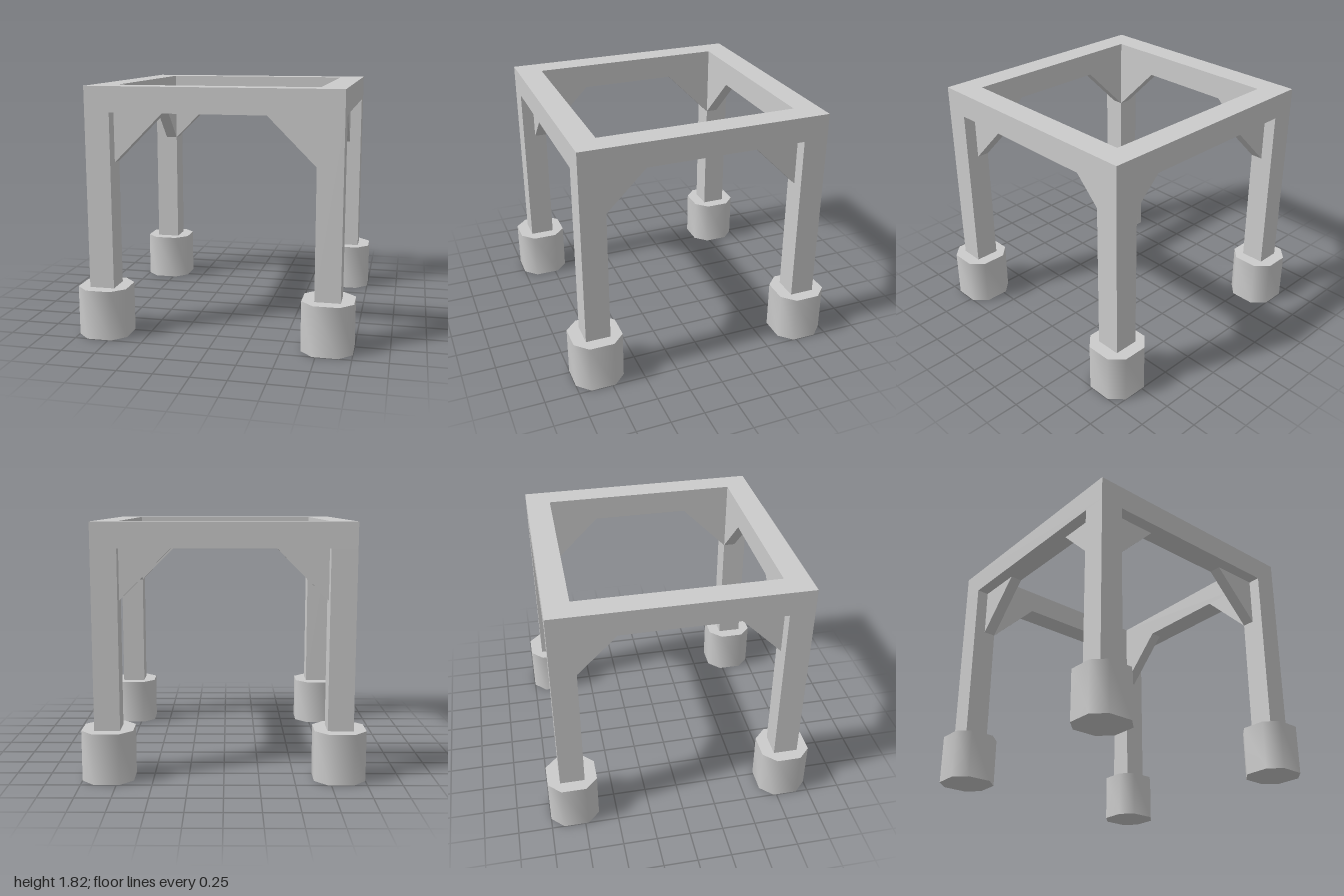
import * as THREE from 'three';
import { toCreasedNormals } from 'three/addons/utils/BufferGeometryUtils.js';

const U = 1 / 11; // grid module: all sizes are whole multiples of it
const material = new THREE.MeshStandardMaterial({ color: 0xcccccc });

const toPoints = (pairs) => pairs.map(([x, y]) => new THREE.Vector2(x * U, y * U));
const extrude = (shape, depth) =>
  new THREE.ExtrudeGeometry(shape, { depth: depth * U, bevelEnabled: false });
const square = (r) => toPoints([[-r, -r], [r, -r], [r, r], [-r, r]]);

export function createModel() {
  const model = new THREE.Group();
  const add = (parent, name, geometry) => {
    const mesh = new THREE.Mesh(geometry, material);
    mesh.name = name;
    parent.add(mesh);
    return mesh;
  };

  // Square top frame
  const outline = new THREE.Shape(square(10));
  outline.holes.push(new THREE.Path(square(8)));
  const frame = extrude(outline, 2).rotateX(-Math.PI / 2);
  add(model, 'topFrame', frame).position.y = 18 * U;

  // Posts on chamfered feet with softly shaded sides
  const octagon = new THREE.Shape(toPoints([
    [-1, -2], [1, -2], [2, -1], [2, 1], [1, 2], [-1, 2], [-2, 1], [-2, -1],
  ]));
  const footGeometry = toCreasedNormals(extrude(octagon, 4).rotateX(-Math.PI / 2), Math.PI / 3);
  const postGeometry = new THREE.BoxGeometry(2 * U, 14 * U, 2 * U);
  for (const sx of [-1, 1]) {
    for (const sz of [-1, 1]) {
      const leg = new THREE.Group();
      leg.name = `${sz > 0 ? 'front' : 'back'}${sx > 0 ? 'Left' : 'Right'}Leg`;
      leg.position.set(sx * 9 * U, 0, sz * 9 * U);
      add(leg, 'foot', footGeometry);
      add(leg, 'post', postGeometry).position.y = 11 * U;
      model.add(leg);
    }
  }

  // Triangular corner braces, flush with the inner faces of the frame
  const braceGeometries = [-1, 1].map((s) => extrude(
    new THREE.Shape(toPoints([[s * 8, 18], [s * 8, 14], [s * 4, 18]])), 1,
  ).translate(0, 0, 8 * U));
  ['front', 'left', 'back', 'right'].forEach((side, i) => {
    const braces = new THREE.Group();
    braces.name = `${side}Braces`;
    braces.rotation.y = i * Math.PI / 2;
    braceGeometries.forEach((geometry) => add(braces, 'brace', geometry));
    model.add(braces);
  });

  return model;
}
